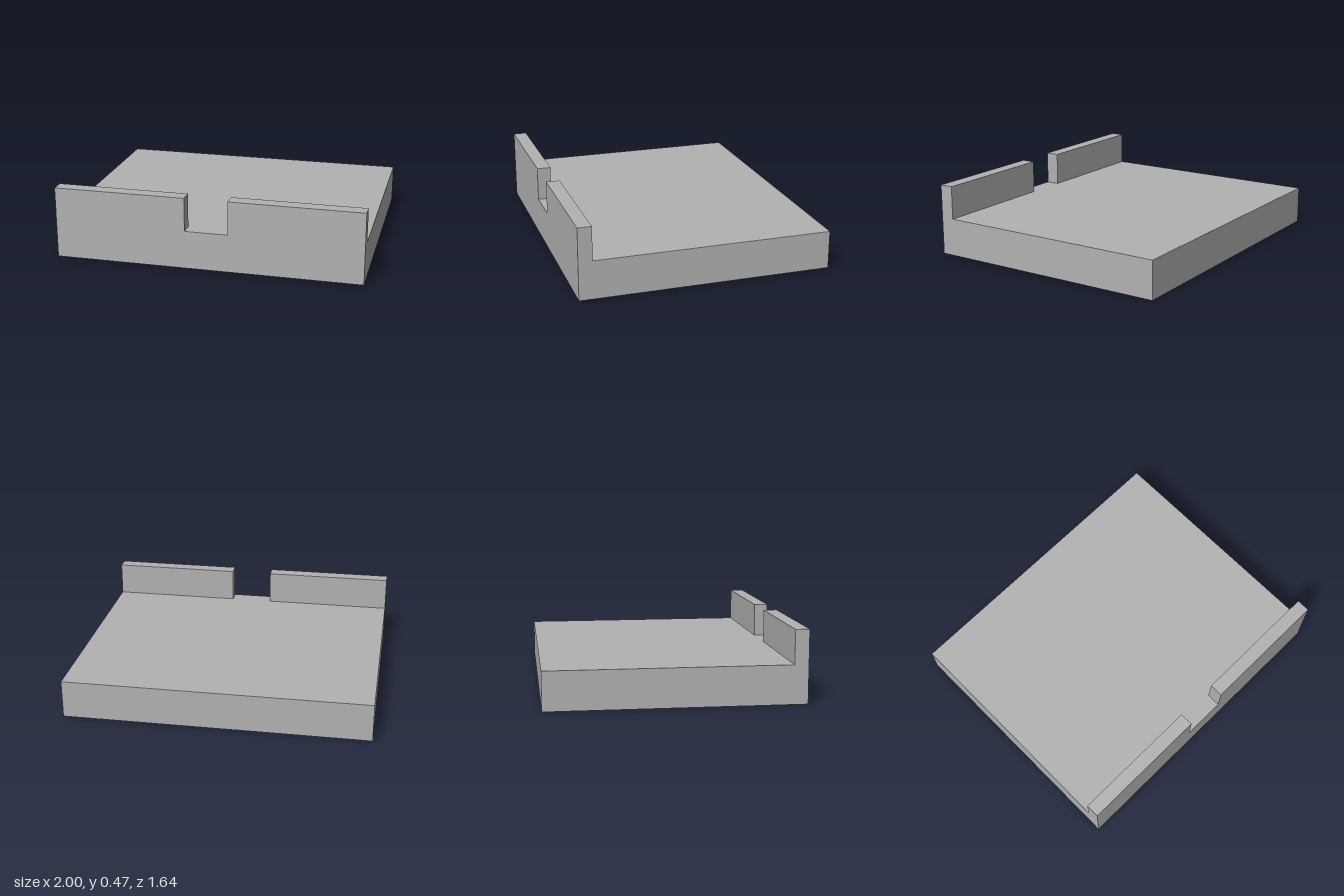
import * as THREE from 'three';

const W = 2, D = 1.64;          // footprint
const TOP = 0.25, LIP = 0.47;   // slab top and lip top
const SOCKET = 0.16;            // depth of the foot sockets

const rect = (P, x0, y0, x1, y1) => new P([
  new THREE.Vector2(x0, y0), new THREE.Vector2(x1, y0),
  new THREE.Vector2(x1, y1), new THREE.Vector2(x0, y1),
]);

export function createModel() {
  const model = new THREE.Group();
  const gray = new THREE.MeshStandardMaterial({ color: 0xb2b2b2 });
  gray.name = 'plain gray';

  const add = (name, geometry, x, y, z) => {
    const mesh = new THREE.Mesh(geometry, gray);
    mesh.name = name;
    mesh.position.set(x, y, z);
    model.add(mesh);
  };

  // Lower layer, pierced by a square socket near each corner
  const plan = rect(THREE.Shape, -W / 2, -D / 2, W / 2, D / 2);
  for (const sx of [-1, 1]) {
    for (const sz of [-1, 1]) {
      const cx = sx * 0.785, cz = sz * 0.607, h = 0.108;
      plan.holes.push(rect(THREE.Path, cx - h, cz - h, cx + h, cz + h));
    }
  }
  const lower = new THREE.ExtrudeGeometry(plan, { depth: SOCKET, bevelEnabled: false });
  lower.rotateX(-Math.PI / 2);
  add('socketLayer', lower, 0, 0, 0);

  // Upper layer closes the sockets
  add('topSlab', new THREE.BoxGeometry(W, TOP - SOCKET, D), 0, (TOP + SOCKET) / 2, 0);

  // Front lip in two halves with a gap between
  const gap = 0.14, thick = 0.09;
  for (const [name, s] of [['leftLip', 1], ['rightLip', -1]]) {
    add(name, new THREE.BoxGeometry(W / 2 - gap, LIP - TOP, thick),
      s * (W / 2 + gap) / 2, (LIP + TOP) / 2, D / 2 - thick / 2);
  }
  return model;
}
